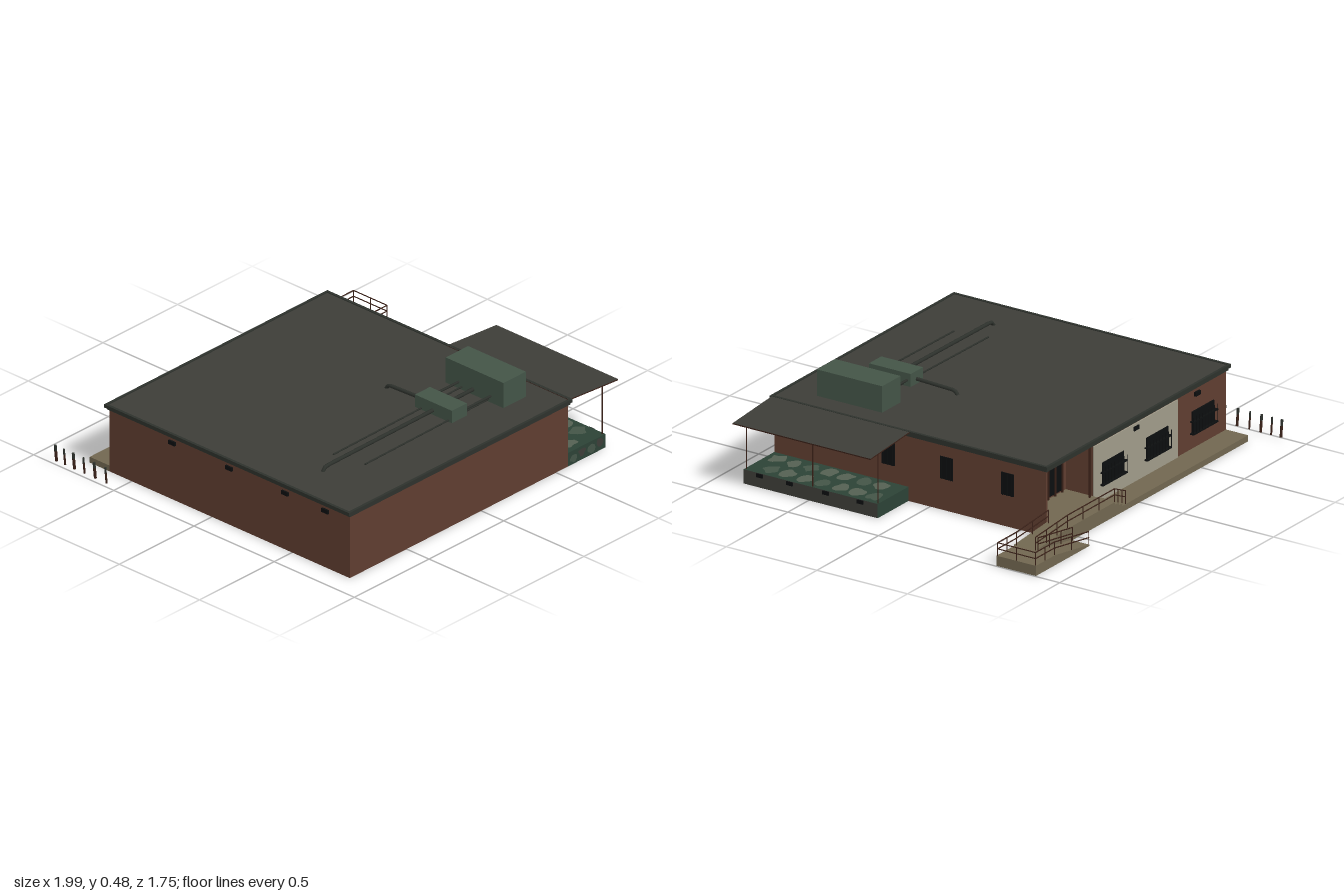
import * as THREE from 'three';

const mat = (name, color, side = THREE.FrontSide) => {
  const m = new THREE.MeshStandardMaterial({ color, side });
  m.name = name;
  return m;
};

export function createModel() {
  const root = new THREE.Group();
  root.name = 'building';
  const brick = mat('brick', 0x5f3d30);
  const roofGrey = mat('roofGrey', 0x3d3d38);
  const trim = mat('darkTrim', 0x2d312c);
  const plaster = mat('plaster', 0xa09b8a);
  const concrete = mat('concrete', 0x716750);
  const green = mat('machineGreen', 0x435447);
  const black = mat('black', 0x0c0e0f);
  const camoDark = mat('camoDark', 0x2c4236);
  const camoLight = mat('camoLight', 0x556052);
  const rust = mat('rust', 0x3a2118);

  const add = (name, geo, material, parent = root) => {
    const m = new THREE.Mesh(geo, material);
    m.name = name;
    parent.add(m);
    return m;
  };
  // Box given by its limits on each axis
  const box = (name, material, x0, x1, y0, y1, z0, z1, parent) => {
    const m = add(name, new THREE.BoxGeometry(x1 - x0, y1 - y0, z1 - z0), material, parent);
    m.position.set((x0 + x1) / 2, (y0 + y1) / 2, (z0 + z1) / 2);
    return m;
  };
  // Round bar between two points
  const bar = (name, material, a, b, r, parent) => {
    const p = new THREE.Vector3(...a), q = new THREE.Vector3(...b);
    const m = add(name, new THREE.CylinderGeometry(r, r, p.distanceTo(q), 6), material, parent);
    m.position.copy(p).add(q).multiplyScalar(0.5);
    m.quaternion.setFromUnitVectors(new THREE.Vector3(0, 1, 0), q.sub(p).normalize());
    return m;
  };
  // Side profile in x and y, extruded along z
  const slab = (name, material, pts, z0, z1) => {
    const shape = new THREE.Shape(pts.map(p => new THREE.Vector2(...p)));
    const geo = new THREE.ExtrudeGeometry(shape, { depth: z1 - z0, bevelEnabled: false });
    add(name, geo, material).position.z = z0;
  };

  // Hollow walls, open underneath, with a recessed entrance at the back
  const t = 0.012;
  box('frontWall', brick, -0.88, 0.58, 0, 0.33, 0.86 - t, 0.86);
  box('rightWall', brick, -0.88, -0.88 + t, 0, 0.33, -0.64, 0.86);
  box('leftWall', brick, 0.58 - t, 0.58, 0, 0.33, -0.64, 0.86);
  box('backWall', brick, -0.88, 0.2, 0, 0.33, -0.64, -0.64 + t);
  box('entranceSide', brick, 0.2 - t, 0.2, 0, 0.33, -0.64, -0.48);
  box('entranceWall', brick, 0.2 - t, 0.58, 0, 0.33, -0.49, -0.48);
  box('plasterPanel', plaster, -0.48, 0.2, 0.03, 0.315, -0.646, -0.64);

  // Roof with stepped fascia
  box('fascia', trim, -0.888, 0.588, 0.322, 0.336, -0.648, 0.868);
  box('roofSlab', roofGrey, -0.885, 0.58, 0.33, 0.347, -0.64, 0.86);
  box('roofEdge', trim, -0.9, 0.595, 0.334, 0.35, -0.655, -0.641);
  box('roofEdge', trim, -0.9, 0.595, 0.334, 0.35, 0.861, 0.875);
  box('roofEdge', trim, -0.9, -0.886, 0.334, 0.35, -0.641, 0.861);
  box('roofEdge', trim, 0.581, 0.595, 0.334, 0.35, -0.641, 0.861);

  // Side windows
  for (const z of [0.23, -0.092, -0.428]) {
    box('sideWindow', black, 0.579, 0.584, 0.155, 0.265, z - 0.035, z + 0.035);
    for (let i = -1; i <= 1; i++) {
      bar('windowBar', black, [0.587, 0.155, z + i * 0.024], [0.587, 0.265, z + i * 0.024], 0.002);
    }
  }

  // Back windows with grilles
  for (const x of [-0.685, -0.31, 0.05]) {
    const g = new THREE.Group();
    g.name = 'backWindow';
    root.add(g);
    box('glass', black, x - 0.088, x + 0.088, 0.105, 0.215, -0.65, -0.642, g);
    box('grilleSill', black, x - 0.1, x + 0.1, 0.105, 0.112, -0.662, -0.642, g);
    box('grilleRail', black, x - 0.1, x + 0.1, 0.165, 0.171, -0.662, -0.642, g);
    for (let i = 0; i <= 8; i++) {
      const bx = x - 0.098 + i * 0.0245;
      bar('grilleBar', black, [bx, 0.105, -0.66], [bx, 0.195, -0.66], 0.002, g);
    }
  }

  // Entrance doors
  box('entranceGlass', black, 0.24, 0.47, 0.08, 0.24, -0.496, -0.49);
  for (let i = 0; i <= 4; i++) {
    const x = 0.24 + i * 0.0575;
    box('doorFrame', rust, x - 0.004, x + 0.004, 0.07, 0.24, -0.502, -0.492);
  }
  bar('entrancePost', rust, [0.22, 0.07, -0.635], [0.22, 0.325, -0.635], 0.006);

  // Wall vents under the eaves
  for (const z of [-0.245, 0.11, 0.46, 0.71]) {
    box('vent', black, -0.889, -0.875, 0.285, 0.305, z - 0.02, z + 0.02);
  }
  for (const x of [-0.64, -0.14]) box('vent', black, x - 0.02, x + 0.02, 0.283, 0.303, -0.652, -0.635);

  // Rooftop machines
  box('largeUnit', green, 0.32, 0.47, 0.345, 0.477, 0.34, 0.7);
  box('smallUnit', green, 0.05, 0.15, 0.35, 0.414, 0.4, 0.63);

  // Rooftop pipes
  const pipe = (name, pts, r) => {
    const path = new THREE.CurvePath();
    const v = pts.map(p => new THREE.Vector3(...p));
    for (let i = 1; i < v.length; i++) path.add(new THREE.LineCurve3(v[i - 1], v[i]));
    add(name, new THREE.TubeGeometry(path, 40, r, 8), trim);
  };
  pipe('mainPipe', [[0.33, 0.375, 0.51], [-0.66, 0.367, 0.51], [-0.675, 0.362, 0.51], [-0.685, 0.345, 0.51]], 0.009);
  pipe('backPipe', [[0.1, 0.374, 0.41], [0.1, 0.366, 0.2], [0.1, 0.36, 0.185], [0.1, 0.345, 0.175]], 0.009);
  bar('thinPipe', trim, [0.33, 0.362, 0.44], [-0.54, 0.352, 0.44], 0.004);
  bar('thinPipe', trim, [0.33, 0.362, 0.61], [-0.51, 0.352, 0.61], 0.004);
  for (const z of [0.42, 0.62]) bar('unitPipe', trim, [0.33, 0.38, z], [0.14, 0.38, z], 0.006);

  // Side porch: plain outer face, camouflage on top and ends
  add('porch', new THREE.BoxGeometry(0.25, 0.07, 0.74),
    [roofGrey, camoDark, camoDark, camoDark, camoDark, camoDark]).position.set(0.705, 0.035, 0.49);
  let seed = 7;
  const rnd = () => (seed = (seed * 16807) % 2147483647) / 2147483647;
  const blob = (rx, ry) => {
    const pts = [];
    for (let i = 0; i < 9; i++) {
      const a = i / 9 * Math.PI * 2, k = 0.6 + 0.4 * rnd();
      pts.push(new THREE.Vector2(Math.cos(a) * rx * k, Math.sin(a) * ry * k));
    }
    const s = new THREE.Shape();
    s.moveTo(pts[0].x, pts[0].y);
    s.splineThru([...pts.slice(1), pts[0]]);
    return new THREE.ShapeGeometry(s, 4);
  };
  for (let i = 0; i < 14; i++) {
    const m = add('camoPatch', blob(0.055, 0.045), i % 3 ? camoLight : green);
    m.rotation.x = -Math.PI / 2;
    m.position.set(i % 2 ? 0.645 : 0.765, 0.0715 + i * 0.0001, 0.18 + i * 0.0475);
  }
  for (let i = 0; i < 4; i++) {
    add('camoPatch', blob(0.03, 0.025), i % 2 ? roofGrey : green)
      .position.set(0.615 + i * 0.06, i % 2 ? 0.042 : 0.03, 0.861);
  }
  for (const z of [0.77, 0.605, 0.405, 0.215]) {
    box('porchDrain', black, 0.825, 0.836, 0.05, 0.068, z - 0.017, z + 0.017);
  }

  // Sloping canopy on thin posts
  const canopy = add('canopy', new THREE.BoxGeometry(0.333, 0.006, 0.76),
    [rust, rust, roofGrey, roofGrey, rust, rust]);
  canopy.position.set(0.745, 0.334, 0.485);
  canopy.rotation.z = -0.076;
  for (const z of [0.85, 0.485, 0.125]) bar('canopyPost', rust, [0.82, 0.07, z], [0.82, 0.33, z], 0.003);

  // Walkway with steps up to the deck, then a ramp down to the landing
  slab('walkway', concrete, [[-0.88, 0], [0.84, 0], [0.84, 0.05], [0.58, 0.07], [0.2, 0.07], [0.2, 0.057],
    [0.17, 0.057], [0.17, 0.044], [0.14, 0.044], [0.14, 0.03], [-0.88, 0.03]], -0.762, -0.64);
  box('entranceFloor', concrete, 0.2, 0.568, 0.03, 0.07, -0.64, -0.49);
  box('landing', concrete, 0.84, 0.995, 0, 0.05, -0.865, -0.648);
  slab('lowerRamp', concrete, [[0.56, 0], [0.84, 0], [0.84, 0.05], [0.56, 0.006]], -0.865, -0.762);

  // Handrails: two bars and posts over each run of ground points
  const rail = (pts, n) => {
    const g = new THREE.Group();
    g.name = 'handrail';
    root.add(g);
    for (let i = 1; i < pts.length; i++) {
      const a = pts[i - 1], b = pts[i];
      for (const h of [0.034, 0.064]) {
        bar('railBar', rust, [a[0], a[1] + h, a[2]], [b[0], b[1] + h, b[2]], 0.0028, g);
      }
      for (let k = 0; k <= n; k++) {
        const p = a.map((v, j) => v + (b[j] - v) * k / n);
        bar('railPost', rust, p, [p[0], p[1] + 0.064, p[2]], 0.0025, g);
      }
    }
  };
  rail([[0.11, 0.03, -0.758], [0.2, 0.07, -0.758], [0.58, 0.07, -0.758], [0.84, 0.05, -0.758]], 3);
  rail([[0.58, 0.07, -0.652], [0.84, 0.05, -0.652], [0.992, 0.05, -0.652], [0.992, 0.05, -0.861],
    [0.84, 0.05, -0.861], [0.56, 0.006, -0.861]], 2);
  rail([[0.56, 0.006, -0.772], [0.84, 0.05, -0.772]], 3);

  // Row of slightly leaning bollards
  [-0.872, -0.818, -0.76, -0.697, -0.63, -0.56].forEach((z, i) => {
    const r = i % 2 ? 0.005 : 0.007;
    bar('bollard', rust, [-0.984, 0.01, z], [-0.99, 0.065, z], r);
    bar('bollardTop', trim, [-0.99, 0.065, z], [-0.993, 0.094, z], r);
  });
  return root;
}
